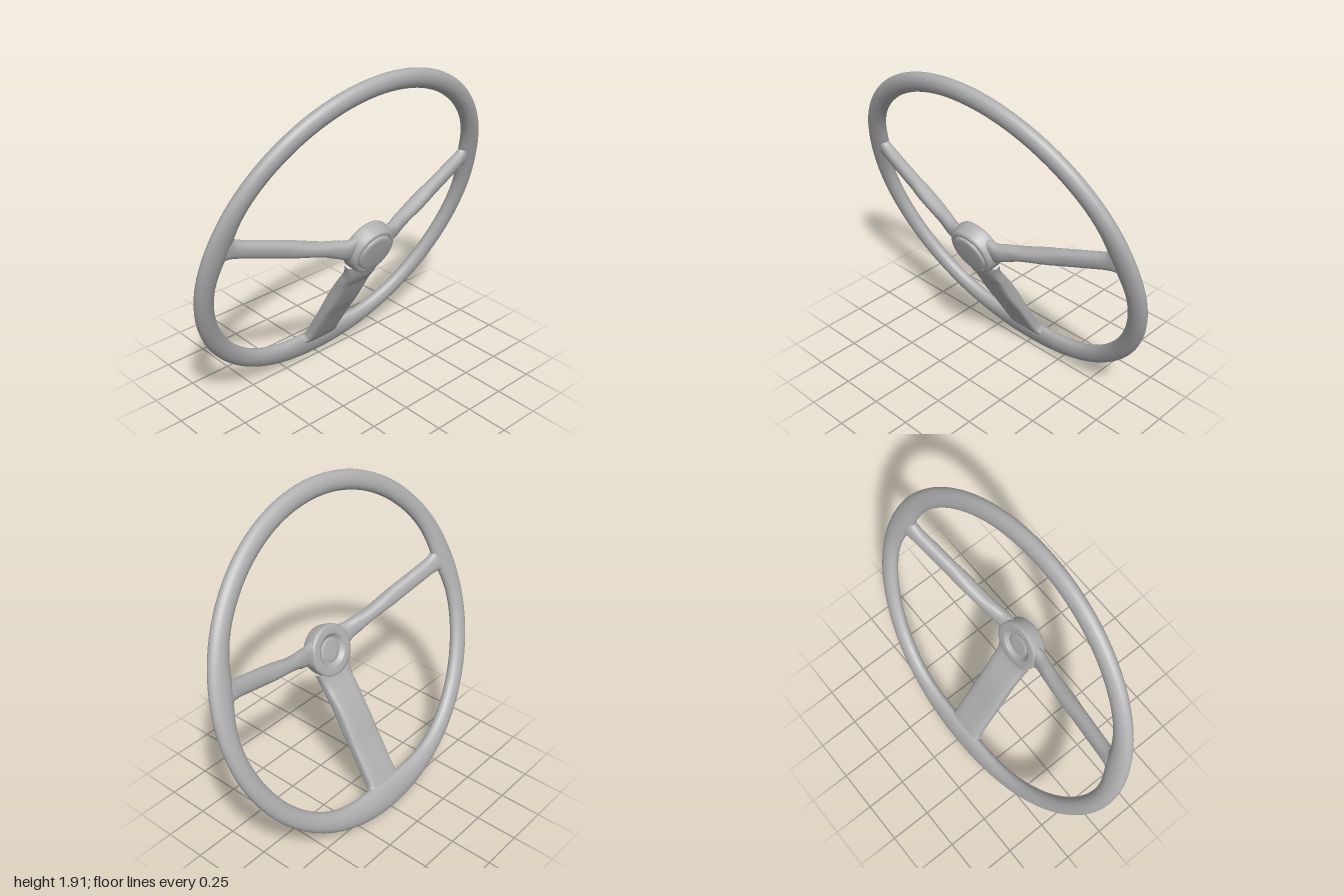
import * as THREE from 'three';

// Closed-section surface: rows of rings; point(u, phi) gives [x, y, z]
function loft(rows, cols, closed, point) {
  const pos = [], idx = [];
  const count = closed ? rows : rows + 1;
  for (let i = 0; i < count; i++)
    for (let j = 0; j < cols; j++) pos.push(...point(i / rows, (j / cols) * Math.PI * 2));
  for (let i = 0; i < rows; i++)
    for (let j = 0; j < cols; j++) {
      const k = (i + 1) % count, l = (j + 1) % cols;
      const a = i * cols + j, b = k * cols + j, c = k * cols + l, d = i * cols + l;
      idx.push(a, b, c, a, c, d);
    }
  const g = new THREE.BufferGeometry();
  g.setAttribute('position', new THREE.Float32BufferAttribute(pos, 3));
  g.setIndex(idx);
  g.computeVertexNormals();
  return g;
}

const angleGap = (a, b) => Math.abs(Math.atan2(Math.sin(a - b), Math.cos(a - b)));
const bump = (d, w) => Math.exp(-((d / w) ** 2));
const SIDE = 0.235, DOWN = -Math.PI / 2;

// Rim: oval section whose inner edge swells where the spokes arrive
function rimGeometry() {
  return loft(144, 24, true, (u, phi) => {
    const t = u * Math.PI * 2;
    const swell = 0.075 * bump(angleGap(t, DOWN), 0.38)
      + 0.03 * (bump(angleGap(t, SIDE), 0.2) + bump(angleGap(t, Math.PI - SIDE), 0.2));
    const half = 0.055 + swell / 2;
    const r = 1 - half + half * Math.cos(phi);
    return [r * Math.cos(t), r * Math.sin(t), 0.041 * Math.sin(phi)];
  });
}

// Spoke along +x; stations are [radius, z, half width, half thickness]
function spokeGeometry(stations, power) {
  const path = new THREE.CatmullRomCurve3(stations.map(s => new THREE.Vector3(s[0], s[1], 0)), false, 'centripetal');
  const size = new THREE.CatmullRomCurve3(stations.map(s => new THREE.Vector3(s[2], s[3], 0)), false, 'centripetal');
  const round = v => Math.sign(v) * Math.abs(v) ** power;
  return loft(60, 32, false, (u, phi) => {
    const p = path.getPoint(u), t = path.getTangent(u), s = size.getPoint(u);
    const h = -round(Math.sin(phi)) * s.y;
    return [p.x - t.y * h, round(Math.cos(phi)) * s.x, p.y + t.x * h];
  });
}

function lathe(points) {
  const g = new THREE.LatheGeometry(points.map(p => new THREE.Vector2(...p)), 64);
  return g.rotateX(Math.PI / 2);
}

export function createModel() {
  const grey = new THREE.MeshStandardMaterial({ color: 0xb0b0b0 });
  grey.name = 'grey';

  const model = new THREE.Group();
  model.name = 'steeringWheel';
  const wheel = new THREE.Group();
  wheel.name = 'tiltedWheel';
  wheel.position.y = 0.955;
  wheel.rotation.x = 0.308;
  model.add(wheel);

  const add = (name, geometry, angle = 0) => {
    const mesh = new THREE.Mesh(geometry, grey);
    mesh.name = name;
    mesh.rotation.z = angle;
    wheel.add(mesh);
  };

  add('rim', rimGeometry());

  // Two slim upper spokes
  const slim = spokeGeometry([
    [0.11, 0.182, 0.085, 0.03], [0.15, 0.181, 0.068, 0.033], [0.19, 0.174, 0.054, 0.036],
    [0.26, 0.152, 0.049, 0.037], [0.55, 0.083, 0.049, 0.037], [0.79, 0.026, 0.049, 0.036],
    [0.85, 0.012, 0.056, 0.034], [0.89, 0.004, 0.08, 0.03], [0.93, 0, 0.09, 0.02],
  ], 0.85);
  add('leftSpoke', slim, SIDE);
  add('rightSpoke', slim, Math.PI - SIDE);

  // Broad lower spoke
  const broad = spokeGeometry([
    [0.1, 0.182, 0.13, 0.03], [0.15, 0.181, 0.117, 0.033], [0.2, 0.172, 0.11, 0.036],
    [0.27, 0.15, 0.109, 0.037], [0.55, 0.084, 0.109, 0.037], [0.76, 0.034, 0.109, 0.036],
    [0.81, 0.022, 0.113, 0.034], [0.845, 0.012, 0.135, 0.03], [0.9, 0, 0.15, 0.02],
  ], 0.5);
  add('lowerSpoke', broad, DOWN);

  // Hub with a dished back and a shallow front seat for the cap
  add('hub', lathe([
    [0, 0.16], [0.055, 0.16], [0.06, 0.162], [0.07, 0.168], [0.08, 0.166], [0.095, 0.148],
    [0.102, 0.145], [0.135, 0.145], [0.148, 0.149], [0.153, 0.16], [0.15, 0.19],
    [0.143, 0.225], [0.139, 0.236], [0.131, 0.242], [0.118, 0.243], [0.115, 0.24], [0.114, 0.23], [0, 0.23],
  ]));

  // Slightly domed centre cap
  add('hubCap', lathe([
    [0.111, 0.225], [0.111, 0.245], [0.109, 0.25], [0.103, 0.254], [0.09, 0.256], [0.05, 0.258], [0, 0.259],
  ]));

  return model;
}
